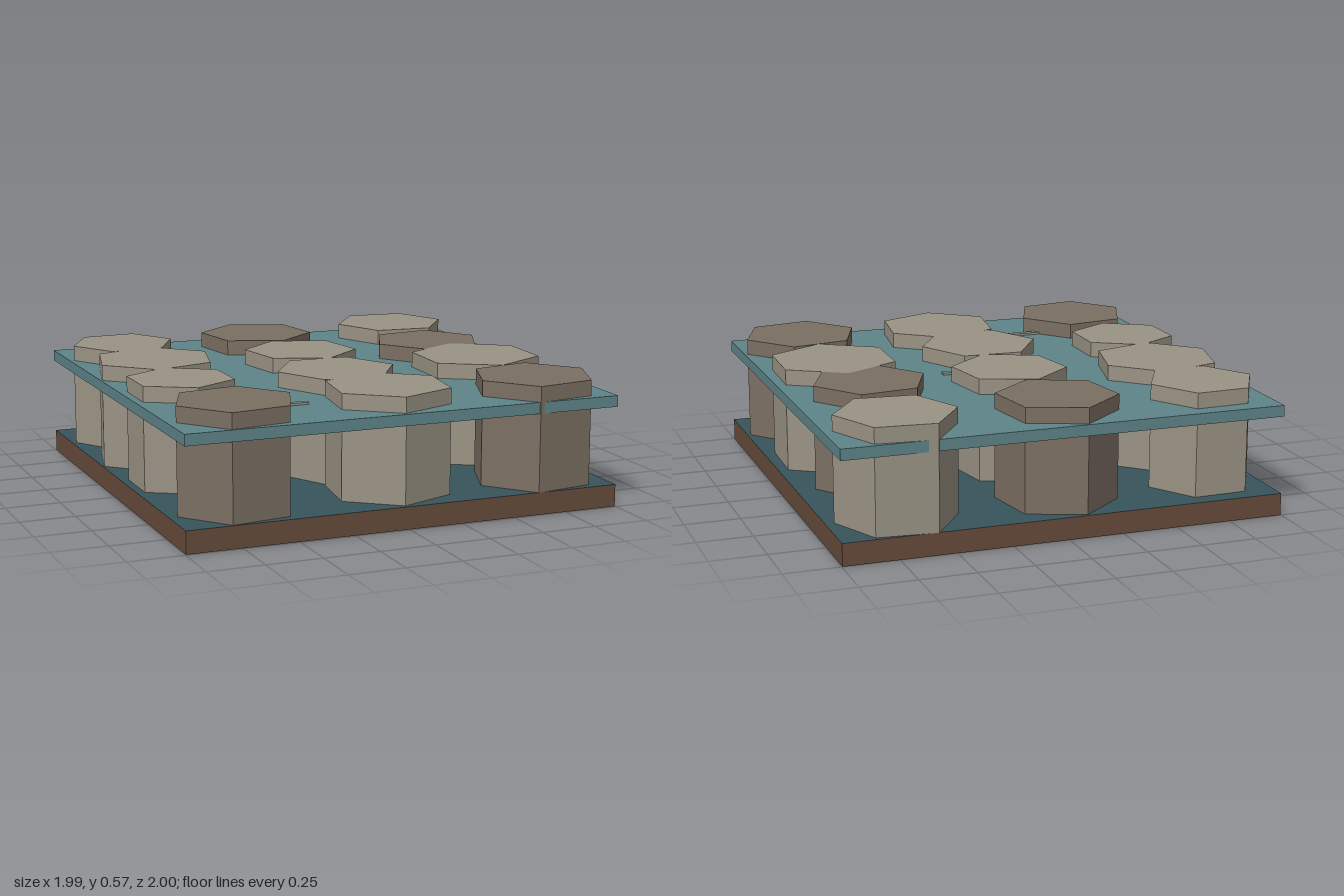
import * as THREE from 'three';

const mat = (name, color, extra = {}) => {
  const m = new THREE.MeshStandardMaterial({ color, ...extra });
  m.name = name;
  return m;
};

export function createModel() {
  const model = new THREE.Group();
  model.name = 'steppingStones';

  const both = { side: THREE.DoubleSide, flatShading: true };
  const earth = mat('earthBrown', 0x664b3b, both);
  const bed = mat('deepTeal', 0x38545c, both);
  const water = mat('waterTeal', 0x5e848a, both);
  const lightStone = mat('lightStone', 0x9a9384, { flatShading: true });
  const darkStone = mat('darkStone', 0x7b6f62, { flatShading: true });
  const ripple = mat('rippleGrey', 0x8d938b);

  const add = (name, geometry, material, x, y, z, parent = model) => {
    const mesh = new THREE.Mesh(geometry, material);
    mesh.name = name;
    mesh.position.set(x, y, z);
    parent.add(mesh);
    return mesh;
  };

  // Square sheet with a skirt around its edge, open underneath
  const SIZE = 1.994;
  const addSheet = (name, bottom, top, wallMat, topMat) => {
    const group = new THREE.Group();
    group.name = name;
    const r = SIZE / Math.SQRT2, h = top - bottom;
    const walls = new THREE.CylinderGeometry(r, r, h, 4, 1, true).rotateY(Math.PI / 4);
    const face = new THREE.PlaneGeometry(SIZE, SIZE).rotateX(-Math.PI / 2);
    add(name + 'Sides', walls, wallMat, 0, bottom + h / 2, 0, group);
    add(name + 'Top', face, topMat, 0, top, 0, group);
    group.position.z = -0.003;
    model.add(group);
  };
  addSheet('riverBed', 0, 0.1, earth, bed);
  addSheet('waterSurface', 0.45, 0.5, water, water);

  // Hexagonal stones: x, z, radius, corner angle in degrees, dark
  const stones = [
    [-0.733, -0.709, 0.245, -2, 0],
    [-0.045, -0.724, 0.268, 21, 1],
    [0.691, -0.76, 0.268, 5.7, 0],
    [-0.717, -0.264, 0.284, -16, 0],
    [-0.013, -0.214, 0.261, 20.5, 0],
    [0.648, -0.224, 0.263, -6.4, 1],
    [-0.752, 0.219, 0.242, 30.3, 0],
    [-0.037, 0.275, 0.275, 2.7, 0],
    [0.693, 0.208, 0.295, 31.8, 0],
    [-0.692, 0.736, 0.271, -8.5, 1],
    [0.027, 0.699, 0.28, -22, 0],
    [0.712, 0.74, 0.275, -9.3, 1],
  ];
  const LOW = 0.1, HIGH = 0.57;
  stones.forEach(([x, z, r, deg, dark], i) => {
    const geo = new THREE.CylinderGeometry(r, r, HIGH - LOW, 6);
    const stone = add('stone' + (i + 1), geo, dark ? darkStone : lightStone, x, (LOW + HIGH) / 2, z);
    stone.rotation.y = Math.PI / 2 - THREE.MathUtils.degToRad(deg);
  });

  // Thin ripples lying on the water
  for (const [x, z] of [[0.03, 0.01], [-0.52, 0.637]]) {
    add('ripple', new THREE.BoxGeometry(0.4, 0.012, 0.03), ripple, x, 0.504, z);
  }

  return model;
}
